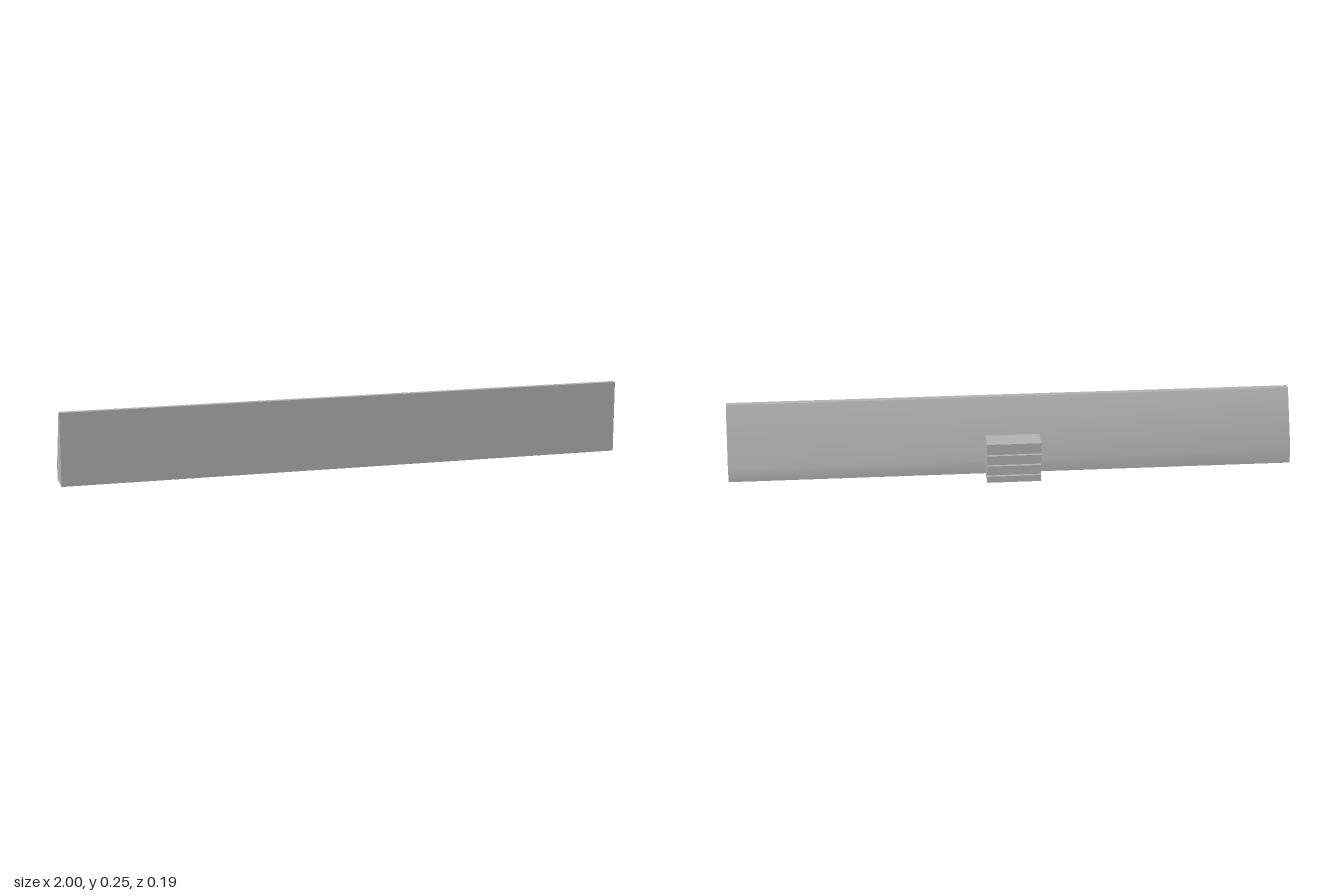
import * as THREE from 'three';
import { toCreasedNormals } from 'three/addons/utils/BufferGeometryUtils.js';

// Extrude a side profile of [z, y] points along x, centred on x = 0
function extrudeAlongX(profile, width) {
  const shape = new THREE.Shape(profile.map(([z, y]) => new THREE.Vector2(-z, y)));
  const geo = new THREE.ExtrudeGeometry(shape, { depth: width, bevelEnabled: false });
  geo.translate(0, 0, -width / 2);
  geo.rotateY(Math.PI / 2);
  return toCreasedNormals(geo, 0.55); // soft bend low on the back, sharp elsewhere
}

export function createModel() {
  const model = new THREE.Group();
  const grey = new THREE.MeshStandardMaterial({ color: 0xb2b2b2 });
  grey.name = 'grey';

  const add = (name, profile, width) => {
    const mesh = new THREE.Mesh(extrudeAlongX(profile, width), grey);
    mesh.name = name;
    model.add(mesh);
  };

  // Long wedge-shaped bar
  const front = 0.098, join = -0.016;
  add('wedgeBar', [[front, 0], [join, 0], [join, 0.05], [0.077, 0.254], [front, 0.254]], 2);

  // Block behind the bar, with three square grooves across its back
  const back = -0.097, grooveFloor = -0.086;
  const block = [[join, 0], [back, 0]];
  for (const [low, high] of [[0.023, 0.039], [0.062, 0.078], [0.101, 0.116]]) {
    block.push([back, low], [grooveFloor, low], [grooveFloor, high], [back, high]);
  }
  block.push([back, 0.145], [join, 0.145]);
  add('groovedBlock', block, 0.19);

  return model;
}
